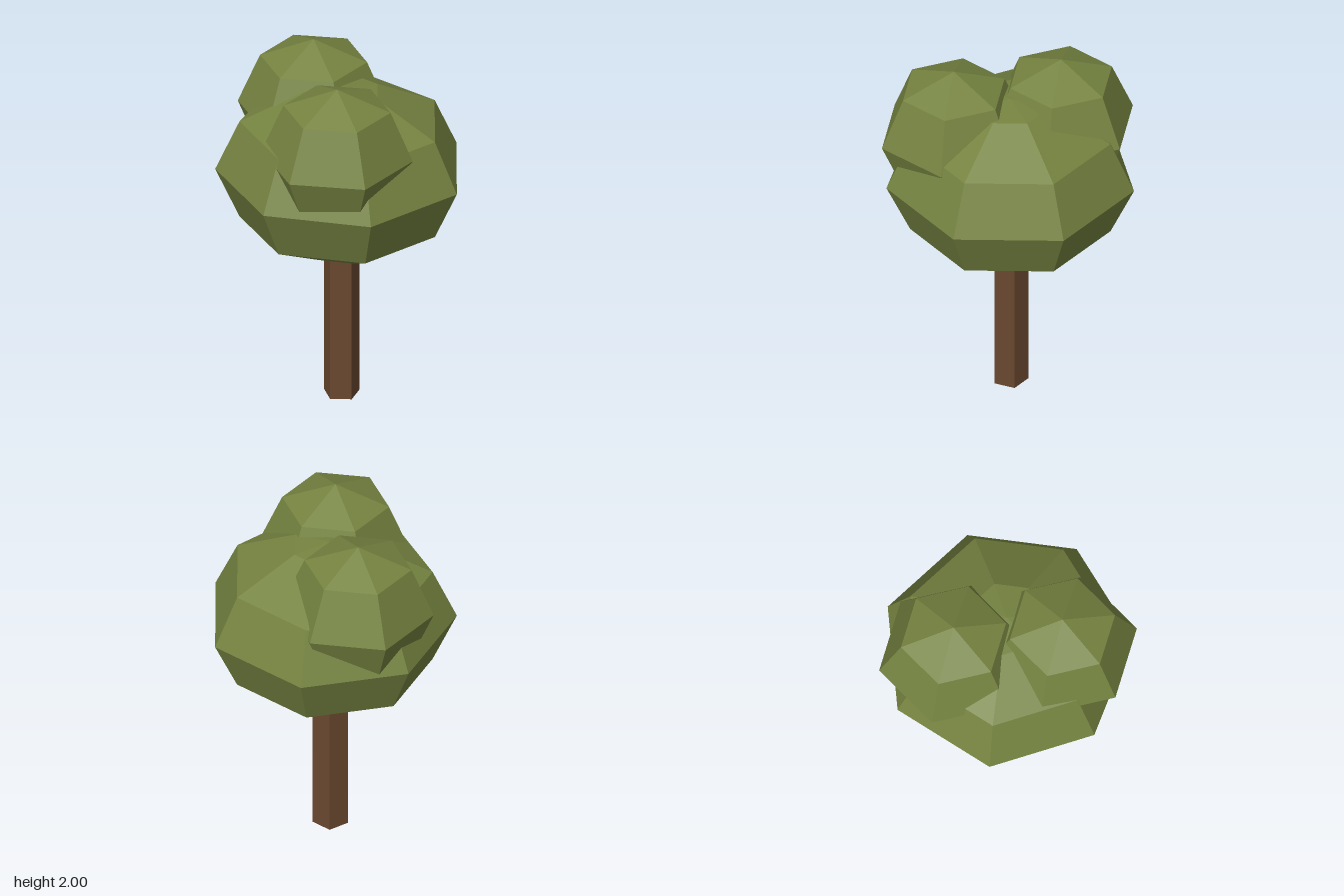
import * as THREE from 'three';

export function createModel() {
  const tree = new THREE.Group();
  tree.name = 'tree';

  const foliage = new THREE.MeshStandardMaterial({ color: 0x758340, flatShading: true });
  foliage.name = 'leaf green';
  const bark = new THREE.MeshStandardMaterial({ color: 0x69482f, flatShading: true, side: THREE.DoubleSide });
  bark.name = 'bark brown';

  // Faceted leaf ball: rings at the given polar angles, first corner towards +z
  function leafBall(name, sides, radius, halfHeight, angles, position) {
    const profile = angles.map((deg) => {
      const a = THREE.MathUtils.degToRad(deg);
      return new THREE.Vector2(Math.max(0, radius * Math.sin(a)), -halfHeight * Math.cos(a));
    });
    const mesh = new THREE.Mesh(new THREE.LatheGeometry(profile, sides), foliage);
    mesh.name = name;
    mesh.position.set(...position);
    tree.add(mesh);
  }

  // Main crown and the two clumps growing out of its top
  leafBall('crown', 7, 0.68, 0.49, [0, 18, 54, 90, 126, 162, 180], [0, 1.355, -0.037]);
  const clumpAngles = [0, 45, 90, 135, 180];
  leafBall('backRightClump', 6, 0.41, 0.405, clumpAngles, [-0.285, 1.595, -0.15]);
  leafBall('frontLeftClump', 6, 0.41, 0.405, clumpAngles, [0.168, 1.595, 0.22]);

  // Five-sided hollow trunk, its top hidden in the crown
  const trunk = new THREE.Mesh(new THREE.CylinderGeometry(0.099, 0.099, 1, 5, 1, true), bark);
  trunk.name = 'trunk';
  trunk.position.set(0, 0.5, -0.031);
  tree.add(trunk);

  return tree;
}
